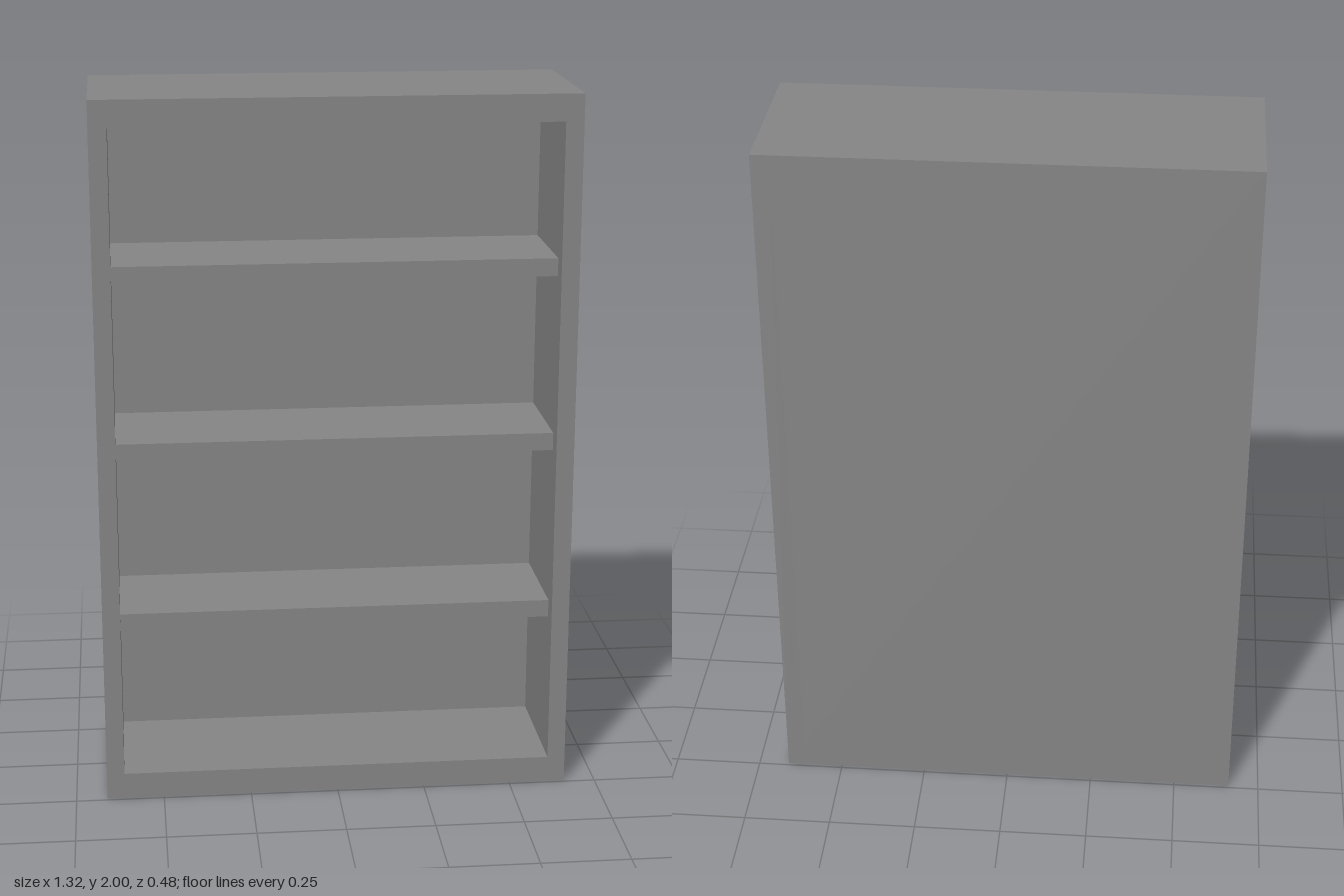
import * as THREE from 'three';

const W = 1.324, H = 2, D = 0.482;          // outer size
const SIDE = 0.05, RAIL = 0.075;            // side and top/bottom thickness
const INNER_W = W - 2 * SIDE, INNER_H = H - 2 * RAIL;
const BACK_Z = -0.128;                      // inner face of the back panel
const SHELF_Z = 0.188, SHELF_T = 0.05;      // recessed shelf front, shelf thickness

export function createModel() {
  const group = new THREE.Group();
  group.name = 'bookcase';
  const material = new THREE.MeshStandardMaterial({ color: 0x878787, flatShading: true });

  const add = (name, geometry, x, y, z) => {
    const mesh = new THREE.Mesh(geometry, material);
    mesh.name = name;
    mesh.position.set(x, y, z);
    group.add(mesh);
  };
  // Rectangle outline centred on the origin
  const rectangle = (Type, w, h) => new Type([
    new THREE.Vector2(-w / 2, -h / 2), new THREE.Vector2(w / 2, -h / 2),
    new THREE.Vector2(w / 2, h / 2), new THREE.Vector2(-w / 2, h / 2),
  ]);

  // Outer frame: sides, top and bottom in one piece
  const outline = rectangle(THREE.Shape, W, H);
  outline.holes.push(rectangle(THREE.Path, INNER_W, INNER_H));
  add('frame', new THREE.ExtrudeGeometry(outline, { depth: D, bevelEnabled: false }), 0, H / 2, -D / 2);

  // Thick back panel set flush inside the frame
  const backDepth = BACK_Z + D / 2;
  add('backPanel', new THREE.BoxGeometry(INNER_W, INNER_H, backDepth), 0, H / 2, -D / 2 + backDepth / 2);

  // Three shelves, slightly recessed from the front
  for (let i = 0; i < 3; i++) {
    add(`shelf${i + 1}`, new THREE.BoxGeometry(INNER_W, SHELF_T, SHELF_Z - BACK_Z),
      0, 0.516 + i * 0.5, (SHELF_Z + BACK_Z) / 2);
  }
  return group;
}
